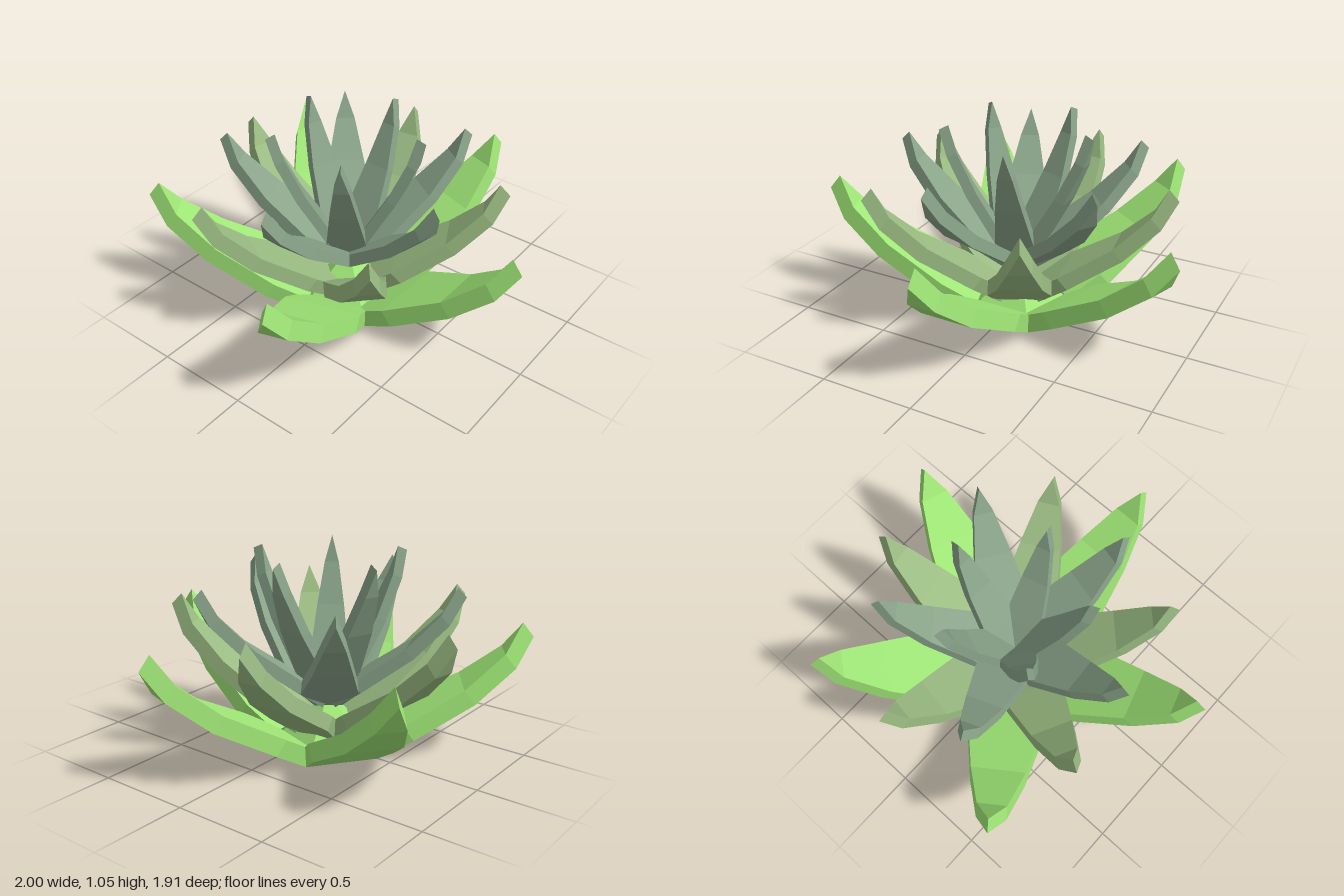
import * as THREE from 'three';

// Leaf shape along its length: position on chord, sag below it, relative width
const ALONG = [0, 0.215, 0.567, 0.837, 1];
const SAG = [0, 0.024, 0.075, 0.062, 0];
const WIDTH = [0.8, 1, 0.68, 0.36, 0];

// Thick curved leaf growing towards +z, built from four-cornered cross-sections
function leafGeometry({ base, tip, halfWidth, thick, sag, baseWidth }) {
  const dz = tip[0] - base[0], dy = tip[1] - base[1];
  const len = Math.hypot(dz, dy);
  const pos = [], idx = [];
  ALONG.forEach((t, i) => {
    const z = base[0] + dz * t + dy * SAG[i] * sag;
    const y = base[1] + dy * t - dz * SAG[i] * sag;
    const topZ = z - (dy / len) * thick, topY = y + (dz / len) * thick;
    const w = halfWidth * (i === 0 ? baseWidth : WIDTH[i]);
    pos.push(-w, y, z, w, y, z, w, topY, topZ, -w, topY, topZ);
    if (i === 0) return;
    for (let k = 0; k < 4; k++) {
      const n = (k + 1) % 4, s = (i - 1) * 4;
      idx.push(s + k, s + n, s + 4 + n, s + k, s + 4 + n, s + 4 + k);
    }
  });
  idx.push(0, 3, 2, 0, 2, 1); // root cap
  const indexed = new THREE.BufferGeometry();
  indexed.setAttribute('position', new THREE.Float32BufferAttribute(pos, 3));
  indexed.setIndex(idx);
  const geo = indexed.toNonIndexed();
  geo.computeVertexNormals();
  return geo;
}

const material = (color) => new THREE.MeshStandardMaterial({ color, flatShading: true });

// Rings of five leaves; base and tip are [radius, height] of the underside
const RINGS = [
  { name: 'outerLeaf', color: 0x9fe676, turn: -0.6, base: [0.26, 0], tip: [1.05, 0.61], halfWidth: 0.21, thick: 0.095, sag: 1, baseWidth: 0.9 },
  { name: 'middleLeaf', color: 0x9abb82, turn: 27.3, base: [0.15, 0.1], tip: [0.835, 0.73], halfWidth: 0.165, thick: 0.08, sag: 1, baseWidth: 0.8 },
  { name: 'innerLeaf', color: 0x8aa48a, turn: 57.8, base: [0.06, 0.24], tip: [0.7, 0.86], halfWidth: 0.145, thick: 0.064, sag: 0.9, baseWidth: 0.5 },
  { name: 'heartLeaf', color: 0x8aa48a, turn: 88, base: [0.05, 0.25], tip: [0.415, 1.03], halfWidth: 0.105, thick: 0.054, sag: 0.5, baseWidth: 0.35 },
];

export function createModel() {
  const model = new THREE.Group();
  model.name = 'succulent';
  const rosette = new THREE.Group();
  rosette.name = 'rosette';
  rosette.position.z = -0.1;
  model.add(rosette);

  // Leaf rings
  for (const ring of RINGS) {
    const geo = leafGeometry(ring), mat = material(ring.color);
    for (let i = 0; i < 5; i++) {
      const leaf = new THREE.Mesh(geo, mat);
      leaf.name = ring.name + (i + 1);
      leaf.rotation.y = THREE.MathUtils.degToRad(ring.turn + i * 72);
      rosette.add(leaf);
    }
  }

  // Five-sided core closing the underside
  const core = new THREE.Mesh(
    new THREE.CylinderGeometry(0.04, 0.315, 0.25, 5, 1, false, Math.PI / 5),
    material(0x9fe676));
  core.name = 'core';
  core.position.y = 0.125;
  rosette.add(core);

  return model;
}
